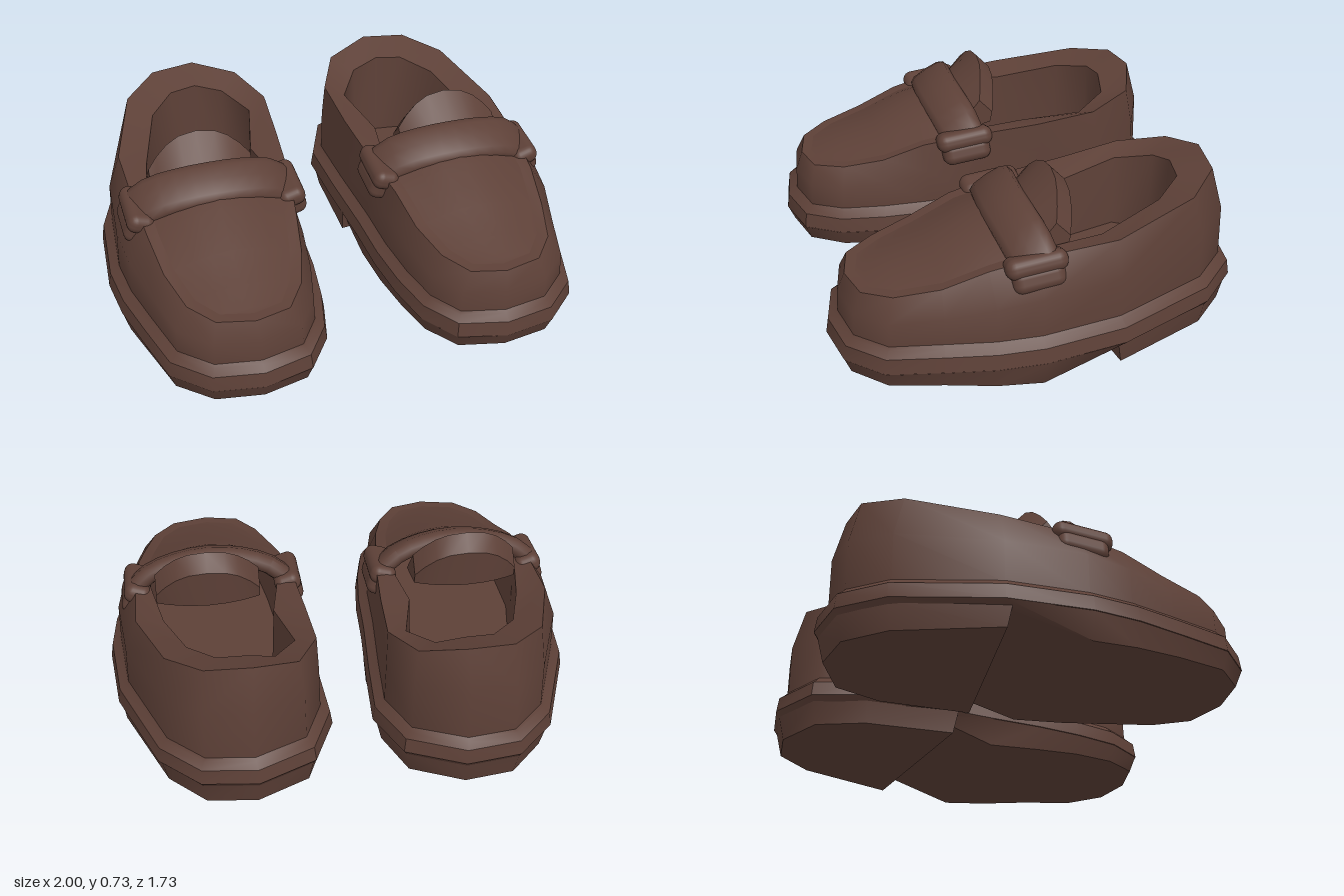
import * as THREE from 'three';
import { toCreasedNormals } from 'three/addons/utils/BufferGeometryUtils.js';
import { RoundedBoxGeometry } from 'three/addons/geometries/RoundedBoxGeometry.js';

const V = (x, y, z) => new THREE.Vector3(x, y, z);
const lerp = THREE.MathUtils.lerp;
const leather = new THREE.MeshStandardMaterial({ color: 0x5d4037, side: THREE.DoubleSide });
leather.name = 'brown leather';

// Collects triangles, skipping collapsed ones
function quad(out, a, b, c, d) {
  for (const t of [[a, b, c], [a, c, d]]) {
    if (t[0] === t[1] || t[1] === t[2] || t[0] === t[2]) continue;
    for (const p of t) out.push(p.x, p.y, p.z);
  }
}

function toMesh(name, positions, crease) {
  const g = new THREE.BufferGeometry();
  g.setAttribute('position', new THREE.Float32BufferAttribute(positions, 3));
  const mesh = new THREE.Mesh(toCreasedNormals(g, crease), leather);
  mesh.name = name;
  return mesh;
}

// Skins closed loops; caps are ladders between opposite points of a loop
function loft(name, loops, { start = false, end = false, crease = 0.8 } = {}) {
  const out = [], n = loops[0].length;
  for (let k = 0; k + 1 < loops.length; k++) {
    for (let i = 0; i < n; i++) {
      const j = (i + 1) % n;
      quad(out, loops[k][i], loops[k][j], loops[k + 1][j], loops[k + 1][i]);
    }
  }
  for (let i = 0; i < Math.floor(n / 2); i++) {
    const ids = [i, i + 1, n - 1 - i, (n - i) % n];
    if (end) quad(out, ...ids.map(q => loops[loops.length - 1][q]));
    if (start) quad(out, ...ids.reverse().map(q => loops[0][q]));
  }
  return toMesh(name, out, crease);
}

// Moves a loop inward in plan and sets its height by a rule
function inset(loop, d, height) {
  const n = loop.length;
  return loop.map((p, i) => {
    const a = loop[(i + n - 1) % n], b = loop[(i + 1) % n];
    const t = V(b.x - a.x, 0, b.z - a.z).normalize();
    return V(p.x + t.z * d, height(p, i), p.z - t.x * d);
  });
}

// Loops run from the heel down the inner side to the toe and back
const outline = [
  [.42, -.865], [.18, -.755], [.085, -.53], [.10, -.26], [.125, .05], [.135, .27],
  [.16, .47], [.205, .66], [.31, .81], [.515, .86], [.725, .825], [.87, .69],
  [.93, .47], [.98, .27], [1, .08], [.97, -.26], [.815, -.67], [.65, -.835],
].map(([x, z]) => V(x, 0, z));

const rim = [
  [.42, .655, -.76], [.235, .61, -.69], [.145, .57, -.5], [.16, .535, -.24], [.185, .51, .05],
  [.22, .475, .27], [.25, .41, .45], [.30, .375, .62], [.38, .362, .74], [.525, .36, .775],
  [.68, .362, .74], [.77, .375, .63], [.82, .41, .45], [.845, .475, .27], [.86, .515, .06],
  [.865, .54, -.25], [.755, .61, -.60], [.61, .645, -.74],
].map(p => V(...p));

// Foot opening at the back, which becomes the apron seam at the front
const opening = [
  [.44, .61, -.625], [.32, .575, -.6], [.228, .535, -.46], [.29, .5, -.2], [.245, .51, .05],
  [.267, .475, .26], [.295, .412, .435], [.34, .378, .595], [.405, .364, .7], [.525, .362, .73],
  [.655, .364, .7], [.73, .378, .605], [.776, .412, .435], [.8, .475, .26], [.805, .515, .06],
  [.75, .505, -.22], [.665, .57, -.49], [.555, .6, -.61],
].map(p => V(...p));

const weltY = p => .115 - .035 * p.z;
const soleY = p => p.z < .05
  ? lerp(0, .1, Math.min(1, (.05 - p.z) / .28))
  : lerp(0, .02, THREE.MathUtils.clamp((p.z - .1) / .4, 0, 1));

function makeShoe() {
  const shoe = new THREE.Group();

  // Sole, heel block and stepped welt
  shoe.add(loft('sole', [inset(outline, .03, soleY), inset(outline, .002, weltY)], { start: true }));
  const heelPlan = [...outline.slice(0, 3), V(.105, 0, -.1), V(.97, 0, -.215), ...outline.slice(16)];
  shoe.add(loft('heel', [inset(heelPlan, .04, () => .02), inset(heelPlan, .014, () => .13)], { start: true }));
  const tier = (d, h) => inset(outline, d, p => weltY(p) + h);
  shoe.add(loft('welt', [tier(.014, -.006), tier(0, .002), tier(.01, .066)], { crease: .7 }));
  shoe.add(loft('weltTop', [tier(.01, .066), tier(.038, .088), tier(.05, .1)], { crease: .7 }));

  // Upper wall and the sloped collar edge
  const base = tier(.05, .095);
  const mid = inset(outline, .054, (p, i) => lerp(base[i].y, rim[i].y, .55));
  shoe.add(loft('upper', [base, mid, rim], { crease: 1.2 }));
  shoe.add(loft('collar', [rim, opening], { crease: .9 }));

  // Lining and insole
  const floor = inset(opening, .012, () => .22);
  shoe.add(loft('lining', [opening, floor], { end: true, crease: 1 }));

  // Arched apron over the toes
  const arch = { 4: .08, 5: .075, 6: .045, 7: .03, 8: .004 };
  const rows = [4, 5, 6, 7, 8].map(r => {
    const a = opening[r], b = opening[18 - r];
    return [0, 1, 2, 3, 4, 5, 6].map(c => {
      const p = a.clone().lerp(b, c / 6);
      p.y += arch[r] * Math.sin(Math.PI * c / 6);
      return p;
    });
  });
  rows.push(Array(7).fill(opening[9]));
  const apron = [];
  for (let r = 0; r < 5; r++) {
    for (let c = 0; c < 6; c++) quad(apron, rows[r][c], rows[r + 1][c], rows[r + 1][c + 1], rows[r][c + 1]);
  }
  shoe.add(toMesh('apron', apron, .9));

  // Tongue rising behind the strap
  const tongue = [-1, -.82, -.6, -.35, 0, .35, .6, .82, 1].map(u => {
    const x = .555 + .22 * u, top = .727 - .125 * Math.abs(u) ** 2.4, back = .045 * u * u;
    return [V(x, .49, -.115 + back), V(x, top - .065, -.125 + back),
      V(x, top, -.065 + back), V(x, top - .15, .1)];
  });
  shoe.add(loft('tongue', tongue, { start: true, end: true, crease: .6 }));

  // Padded strap across the instep
  const path = new THREE.CatmullRomCurve3([V(.19, .455, .08), V(.28, .53, .1), V(.4, .567, .12),
    V(.54, .58, .13), V(.68, .567, .12), V(.8, .53, .1), V(.88, .46, .08)]);
  const wide = V(0, -.5, .866);
  const sections = [];
  for (let k = 0; k <= 12; k++) {
    const c = path.getPoint(k / 12), up = wide.clone().cross(path.getTangent(k / 12)).normalize();
    const loop = [];
    for (let i = 0; i < 12; i++) {
      const a = -i * Math.PI / 6, cs = Math.cos(a), sn = Math.sin(a);
      loop.push(c.clone()
        .addScaledVector(wide, .1 * Math.sign(cs) * Math.abs(cs) ** .65)
        .addScaledVector(up, .043 * Math.sign(sn) * Math.abs(sn) ** .8));
    }
    sections.push(loop);
  }
  shoe.add(loft('strap', sections, { start: true, end: true }));

  // Rounded cuffs with a ridge at the strap ends
  for (const [x, lean, side] of [[.2, -.3, 'inner'], [.865, .35, 'outer']]) {
    const cuff = new THREE.Group();
    cuff.name = side + 'Cuff';
    for (const [name, y, w, h, d] of [['cuffBand', -.025, .1, .1, .215], ['cuffRidge', .03, .115, .085, .25]]) {
      const m = new THREE.Mesh(new RoundedBoxGeometry(w, h, d, 3, .038), leather);
      m.name = name;
      m.position.y = y;
      cuff.add(m);
    }
    cuff.position.set(x, .46, .085);
    cuff.rotation.set(.1, 0, lean);
    shoe.add(cuff);
  }
  return shoe;
}

export function createModel() {
  const model = new THREE.Group();
  model.name = 'loafers';
  const left = makeShoe();
  left.name = 'leftShoe';
  const right = makeShoe();
  right.name = 'rightShoe';
  right.scale.x = -1;
  model.add(left, right);
  return model;
}
